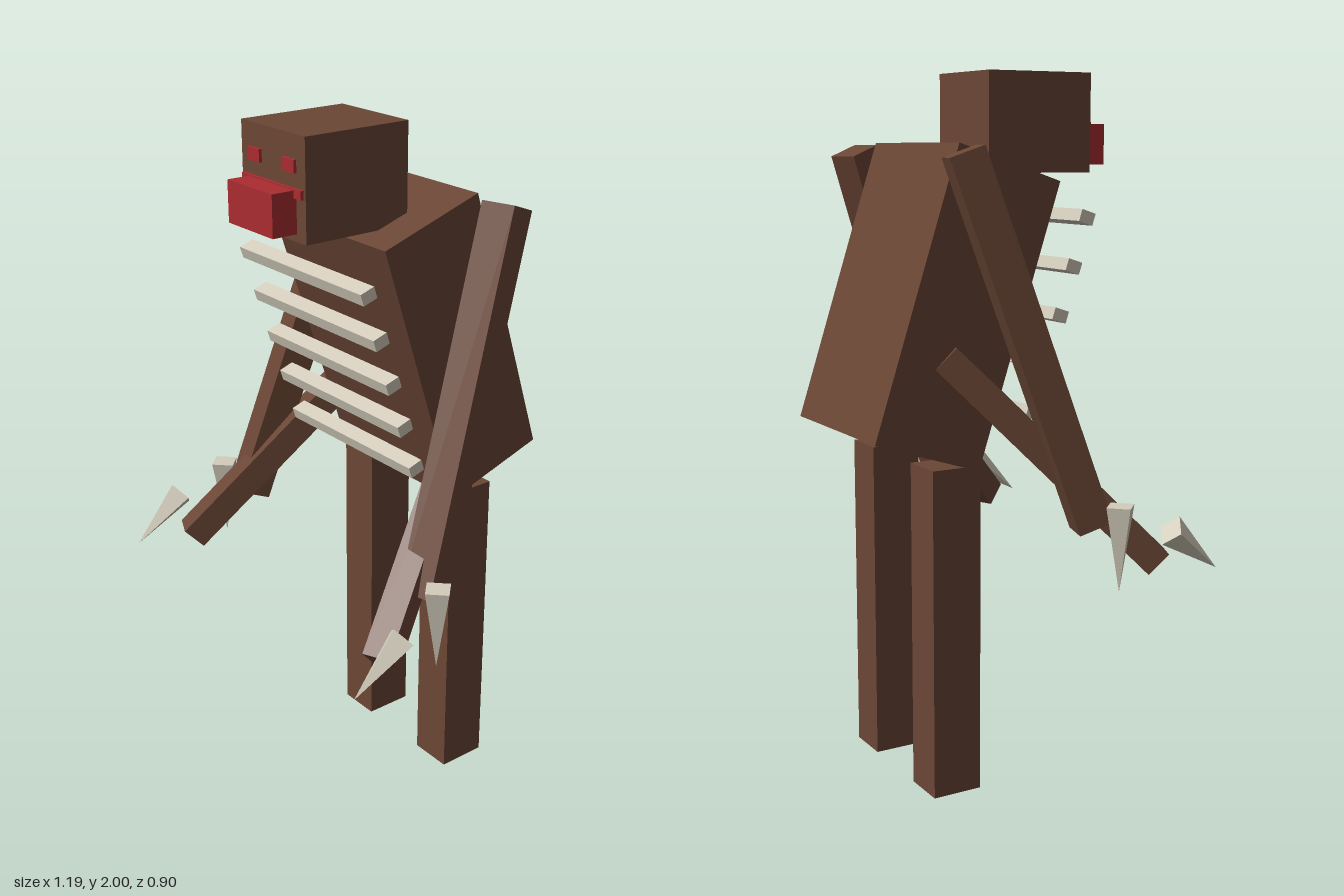
import * as THREE from 'three';

const mat = (name, color) => {
  const m = new THREE.MeshStandardMaterial({ color });
  m.name = name;
  return m;
};

export function createModel() {
  const brown = mat('brown hide', 0x6b4635);
  const bone = mat('bone', 0xd4cdbc);
  const red = mat('red', 0xaa2c30);
  const model = new THREE.Group();
  model.name = 'creature';

  const box = (name, material, size, pos, tilt = 0) => {
    const m = new THREE.Mesh(new THREE.BoxGeometry(...size), material);
    m.name = name;
    m.position.set(...pos);
    m.rotation.x = tilt;
    model.add(m);
    return m;
  };

  // Square bar between two points; its width runs along the level direction "across"
  const limb = (name, from, to, across, width, depth) => {
    const a = new THREE.Vector3(...from), b = new THREE.Vector3(...to);
    const up = a.clone().sub(b);
    const length = up.length();
    up.normalize();
    const x = new THREE.Vector3(...across);
    x.addScaledVector(up, -x.dot(up)).normalize();
    const z = x.clone().cross(up);
    const m = box(name, brown, [width, length, depth], [0, 0, 0]);
    m.quaternion.setFromRotationMatrix(new THREE.Matrix4().makeBasis(x, up, z));
    m.position.copy(a).add(b).multiplyScalar(0.5);
  };

  // Four-sided spike from base centre to tip
  const claw = (name, base, tip) => {
    const a = new THREE.Vector3(...base), b = new THREE.Vector3(...tip);
    const dir = b.clone().sub(a);
    const geo = new THREE.ConeGeometry(0.046, dir.length(), 4).toNonIndexed();
    geo.computeVertexNormals();
    const m = new THREE.Mesh(geo, bone);
    m.name = name;
    m.position.copy(a).add(b).multiplyScalar(0.5);
    // Tilt in the side plane only, so the base corners stay level
    m.rotation.x = Math.atan2(dir.z, dir.y);
    model.add(m);
  };

  // Hunched torso and head
  const lean = 0.316;
  box('torso', brown, [0.496, 0.82, 0.33], [0, 1.366, -0.17], lean);
  box('head', brown, [0.28, 0.275, 0.33], [0, 1.8625, 0.118]);

  // Face
  box('jaw', red, [0.2, 0.114, 0.078], [0, 1.803, 0.319]);
  box('mouthBar', red, [0.262, 0.024, 0.0095], [0, 1.852, 0.287]);

  // Exposed ribs, floating in front of the leaning chest
  for (let i = 0; i < 5; i++) {
    box(`rib${i + 1}`, bone, [0.548, 0.034, 0.046],
      [0, 1.606 - i * 0.1325, 0.187 - i * 0.042], lean);
  }

  for (const s of [1, -1]) {
    const side = s > 0 ? 'left' : 'right';
    box(`${side}Eye`, red, [0.052, 0.034, 0.0095], [s * 0.076, 1.92, 0.287]);
    box(`${side}Leg`, brown, [0.13, 0.94, 0.147], [s * 0.183, 0.47, -0.21]);
    limb(`${side}LongArm`, [s * 0.326, 1.785, -0.232], [s * 0.422, 0.78, 0.113],
      [0.959, 0, s * -0.28], 0.099, 0.098);
    limb(`${side}LowerArm`, [s * 0.225, 1.243, -0.232], [s * 0.47, 0.663, 0.3],
      [0.914, 0, s * -0.404], 0.08, 0.08);
    claw(`${side}RearClaw`, [s * 0.516, 0.85, 0.143], [s * 0.516, 0.61, 0.143]);
    claw(`${side}FrontClaw`, [s * 0.547, 0.77, 0.29], [s * 0.547, 0.643, 0.45]);
  }

  return model;
}
